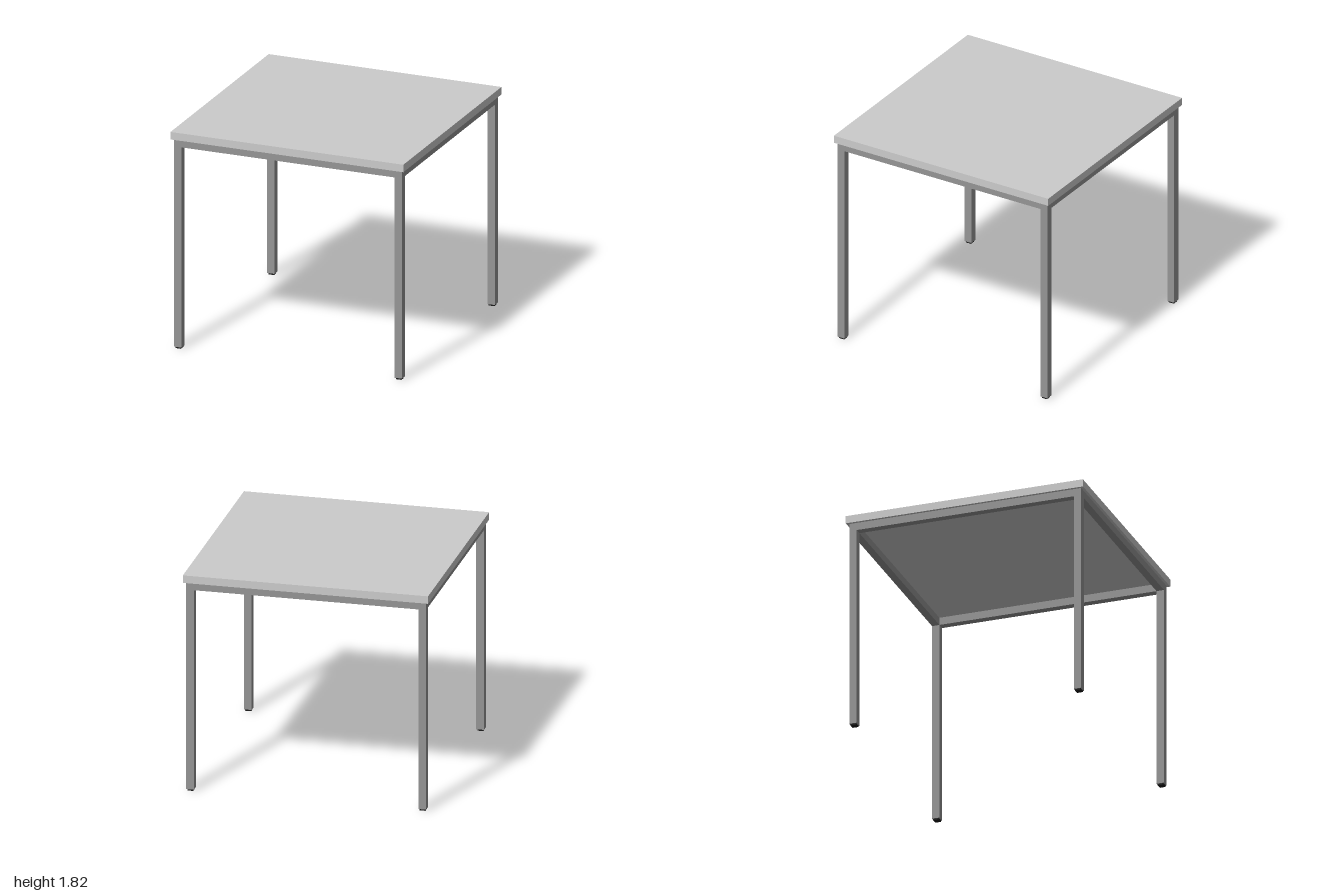
import * as THREE from 'three';

const TOP_Y = 1.82, FRAME_Y = 1.757; // upper faces of the top and the frame
const TUBE = 0.0625;                 // square tube thickness
const FOOT_H = 0.013;
const OFFSET = 0.978 - TUBE / 2;     // centre line of legs and rails

export function createModel() {
  const table = new THREE.Group();
  table.name = 'table';

  const topMat = new THREE.MeshStandardMaterial({ color: 0xcccccc });
  const frameMat = new THREE.MeshStandardMaterial({ color: 0x959595 });
  const footMat = new THREE.MeshStandardMaterial({ color: 0x1a1a1a });

  const addBox = (name, size, position, material) => {
    const mesh = new THREE.Mesh(new THREE.BoxGeometry(...size), material);
    mesh.name = name;
    mesh.position.set(...position);
    table.add(mesh);
  };

  // Square slab top
  const topH = TOP_Y - FRAME_Y;
  addBox('tableTop', [2, topH, 2], [0, FRAME_Y + topH / 2, 0], topMat);

  // Legs with small dark feet
  const legH = FRAME_Y - FOOT_H;
  for (const [sx, side] of [[1, 'Left'], [-1, 'Right']]) {
    for (const [sz, end] of [[1, 'front'], [-1, 'back']]) {
      const x = sx * OFFSET, z = sz * OFFSET;
      addBox(`${end}${side}Leg`, [TUBE, legH, TUBE], [x, FOOT_H + legH / 2, z], frameMat);
      addBox(`${end}${side}Foot`, [0.048, FOOT_H, 0.048], [x, FOOT_H / 2, z], footMat);
    }
  }

  // Rails joining the legs, flush with their outer faces
  const span = 2 * OFFSET - TUBE;
  const railY = FRAME_Y - TUBE / 2;
  addBox('frontRail', [span, TUBE, TUBE], [0, railY, OFFSET], frameMat);
  addBox('backRail', [span, TUBE, TUBE], [0, railY, -OFFSET], frameMat);
  addBox('leftRail', [TUBE, TUBE, span], [OFFSET, railY, 0], frameMat);
  addBox('rightRail', [TUBE, TUBE, span], [-OFFSET, railY, 0], frameMat);

  return table;
}
